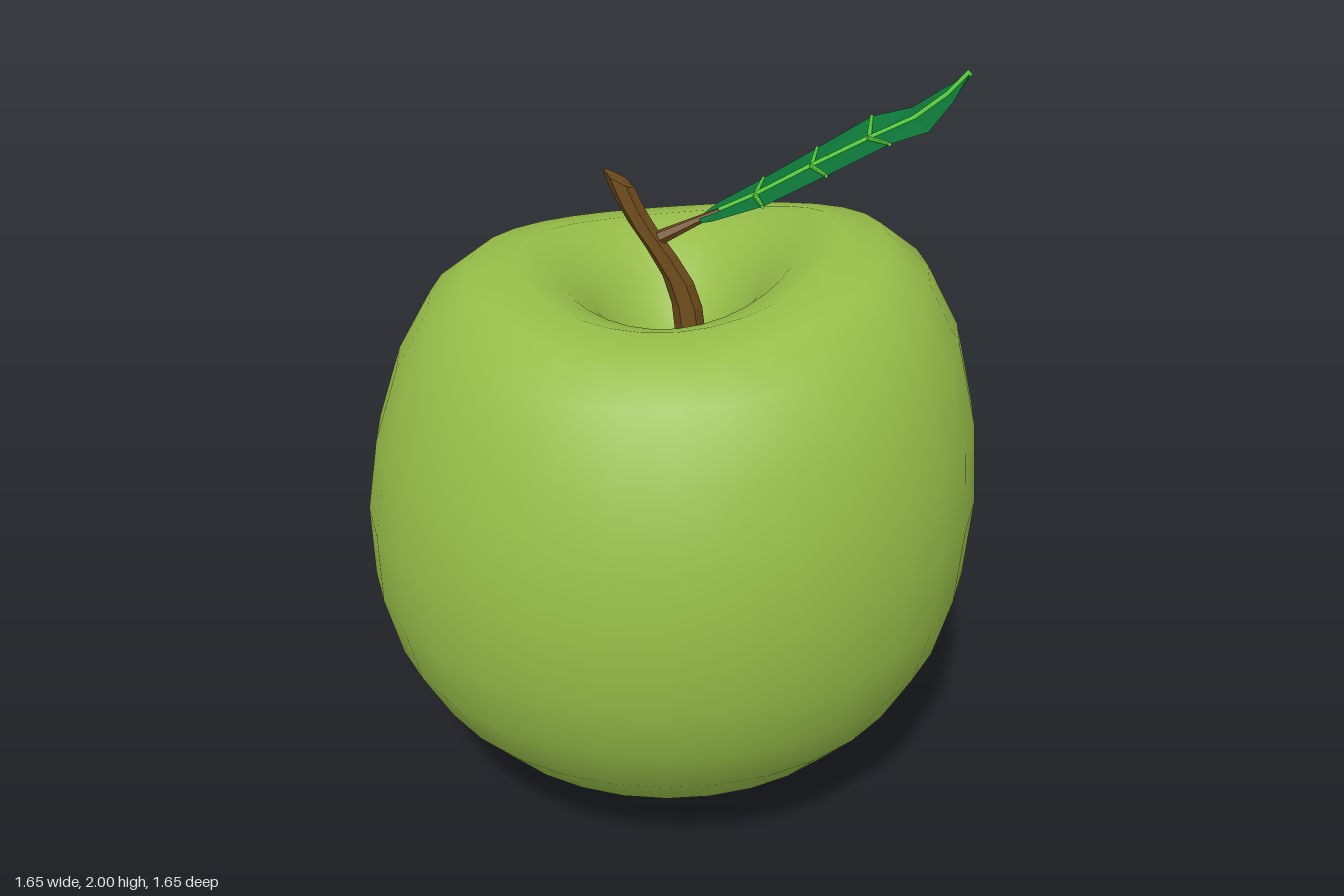
import * as THREE from 'three';
import { mergeVertices } from 'three/addons/utils/BufferGeometryUtils.js';

const V = (p) => new THREE.Vector3(...p);
const mat = (color, extra = {}) => {
  const m = new THREE.MeshStandardMaterial({ color, ...extra });
  return m;
};

function add(parent, name, geometry, material) {
  const mesh = new THREE.Mesh(geometry, material);
  mesh.name = name;
  parent.add(mesh);
  return mesh;
}

// Tapered rod between two points
function rod(parent, name, a, b, ra, rb, material) {
  const A = V(a), d = V(b).sub(A), len = d.length();
  const mesh = add(parent, name, new THREE.CylinderGeometry(rb, ra, len, 6), material);
  mesh.position.copy(A).addScaledVector(d, 0.5);
  mesh.quaternion.setFromUnitVectors(new THREE.Vector3(0, 1, 0), d.normalize());
}

// Fruit body: lathe whose shoulders rise and fall around the rim
function fruitGeometry() {
  const profile = [
    [0, 0.005], [0.15, 0.02], [0.3, 0.06], [0.45, 0.13], [0.58, 0.225], [0.69, 0.345],
    [0.77, 0.49], [0.815, 0.66], [0.825, 0.86], [0.8, 1.06], [0.74, 1.26], [0.65, 1.42],
    [0.545, 1.5], [0.42, 1.52], [0.31, 1.48], [0.22, 1.4], [0.14, 1.3], [0.07, 1.25], [0, 1.24],
  ].map(([r, y]) => new THREE.Vector2(r, y));
  let geo = new THREE.LatheGeometry(profile, 32);
  geo.deleteAttribute('uv');
  geo.deleteAttribute('normal');
  const p = geo.attributes.position;
  for (let i = 0; i < p.count; i++) {
    const x = p.getX(i), y = p.getY(i), z = p.getZ(i), r = Math.hypot(x, z);
    const top = THREE.MathUtils.smoothstep(y, 0.5, 1.4);
    const fade = Math.min(1, r / 0.35) * top;
    const c = r > 1e-4 ? x / r : 0, s = r > 1e-4 ? z / r : 0;
    const lift = 0.038 * c - 0.015 * s + 0.035 * (c * c - s * s);
    p.setXYZ(i, x + 0.025 * top, y + lift * fade, z);
  }
  geo = mergeVertices(geo, 1e-4);
  geo.computeVertexNormals();
  return geo;
}

// Stem: cylinder bent along a curve, ridged and cut at a slant on top
function stemGeometry() {
  const path = new THREE.CatmullRomCurve3([
    [0.06, 1.2, 0.025], [0.055, 1.36, 0.025], [0.02, 1.475, 0.025],
    [-0.055, 1.59, 0.025], [-0.1, 1.67, 0.025], [-0.125, 1.73, 0.025],
  ].map(V));
  const geo = new THREE.CylinderGeometry(0.04, 0.04, 1, 12, 8);
  const p = geo.attributes.position;
  for (let i = 0; i < p.count; i++) {
    const x = p.getX(i), z = p.getZ(i), t = p.getY(i) + 0.5;
    const side = Math.round(Math.atan2(z, x) / (Math.PI / 6));
    const k = side % 2 ? 0.86 : 1;
    const c = path.getPoint(t);
    p.setXYZ(i, c.x + x * k, c.y - x * 0.55 * t, c.z + z * k);
  }
  geo.computeVertexNormals();
  return geo;
}

// Leaf stations from base to tip: back edge, midrib, front edge
const LEAF = [
  [[0.08, 1.625, 0.01], [0.08, 1.63, 0.045], [0.085, 1.63, 0.08]],
  [[0.13, 1.635, -0.08], [0.13, 1.65, 0.04], [0.11, 1.66, 0.16]],
  [[0.25, 1.68, -0.15], [0.22, 1.69, 0.038], [0.23, 1.72, 0.23]],
  [[0.39, 1.755, -0.175], [0.36, 1.765, 0.036], [0.38, 1.8, 0.24]],
  [[0.53, 1.835, -0.19], [0.5, 1.835, 0.034], [0.525, 1.88, 0.25]],
  [[0.63, 1.865, -0.165], [0.61, 1.885, 0.03], [0.62, 1.9, 0.215]],
  [[0.7, 1.935, -0.09], [0.69, 1.945, 0.028], [0.69, 1.95, 0.12]],
  [[0.74, 1.99, 0.015], [0.742, 2.0, 0.025], [0.738, 1.99, 0.035]],
];

function leafGeometry() {
  const index = [];
  for (let i = 0; i < LEAF.length - 1; i++) {
    for (let j = 0; j < 2; j++) {
      const a = i * 3 + j, b = a + 1, c = a + 3, d = a + 4;
      index.push(a, b, c, b, d, c);
    }
  }
  const geo = new THREE.BufferGeometry();
  geo.setAttribute('position', new THREE.Float32BufferAttribute(LEAF.flat(2), 3));
  geo.setIndex(index);
  geo.computeVertexNormals();
  return geo;
}

export function createModel() {
  const model = new THREE.Group();
  model.name = 'apple';
  const bark = mat(0x6f4d1b, { flatShading: true });
  const veinMat = mat(0x55cc3a);

  add(model, 'fruit', fruitGeometry(), mat(0x96bc48));
  add(model, 'stem', stemGeometry(), bark);

  const leaf = new THREE.Group();
  leaf.name = 'leaf';
  model.add(leaf);
  rod(leaf, 'leafStalk', [-0.05, 1.56, 0.025], [0.13, 1.65, 0.04], 0.022, 0.007, bark);
  add(leaf, 'leafBlade', leafGeometry(),
    mat(0x0e7a3a, { flatShading: true, side: THREE.DoubleSide }));

  // Midrib and three pairs of side veins
  for (let i = 1; i < LEAF.length - 1; i++) {
    rod(leaf, 'midrib', LEAF[i][1], LEAF[i + 1][1], 0.009, 0.009, veinMat);
  }
  for (const i of [2, 3, 4]) {
    for (const edge of [0, 2]) rod(leaf, 'sideVein', LEAF[i][1], LEAF[i][edge], 0.007, 0.005, veinMat);
  }
  return model;
}
